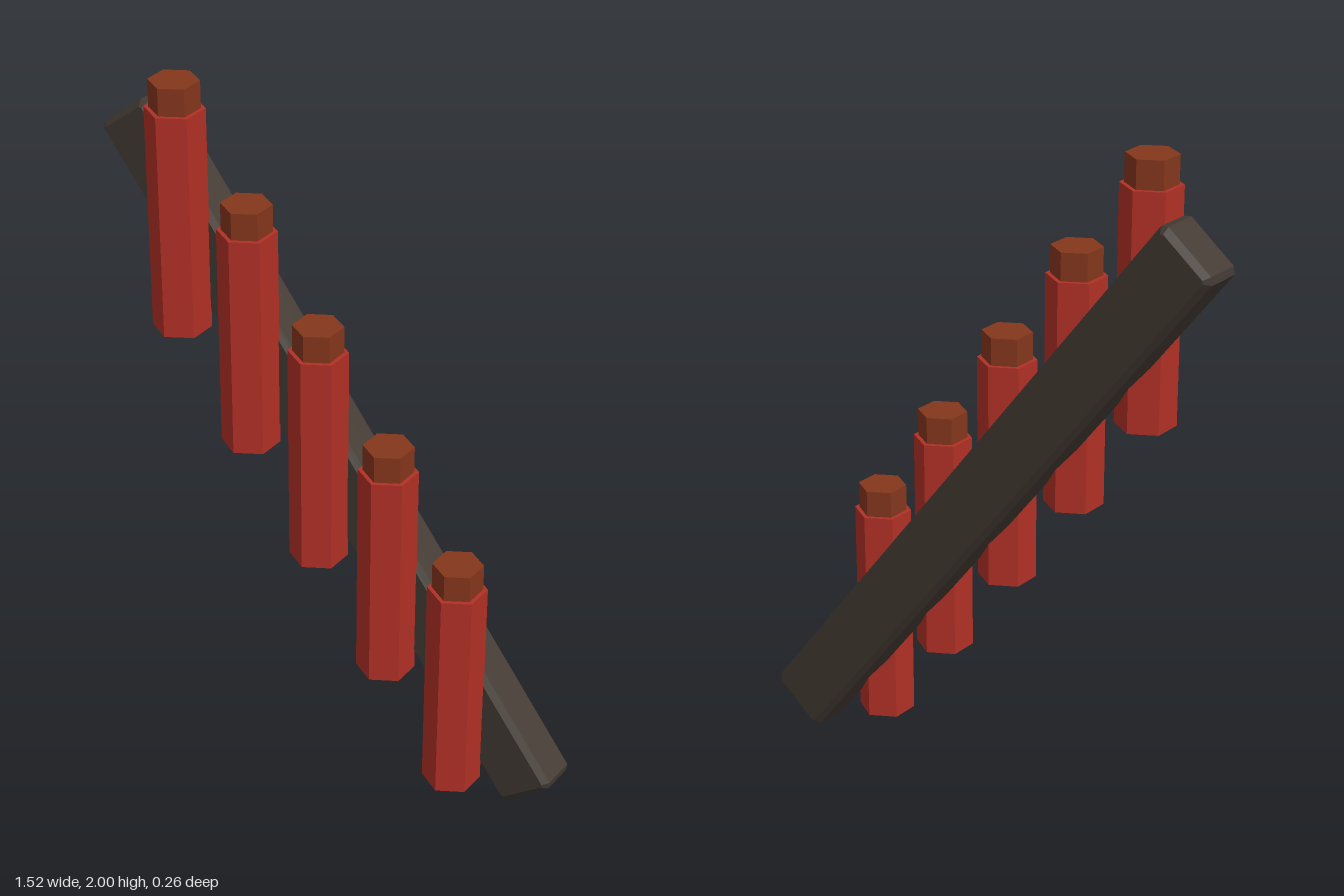
import * as THREE from 'three';

const material = (color) => {
  const m = new THREE.MeshStandardMaterial({ color });
  m.flatShading = true;
  return m;
};

// Box with chamfered edges, centred on the origin
function chamferedBox(length, width, depth, c) {
  const a = length / 2 - c, b = width / 2 - c;
  const shape = new THREE.Shape([[-a, -b], [a, -b], [a, b], [-a, b]].map(([x, y]) => new THREE.Vector2(x, y)));
  // Cut the four corners of the outline
  const A = length / 2, B = width / 2;
  shape.curves = [];
  shape.setFromPoints([
    [-a, -B], [a, -B], [A, -b], [A, b], [a, B], [-a, B], [-A, b], [-A, -b],
  ].map(([x, y]) => new THREE.Vector2(x, y)));
  const geometry = new THREE.ExtrudeGeometry(shape, {
    depth: depth - 2 * c, bevelEnabled: true, bevelSegments: 1,
    bevelSize: c, bevelOffset: -c, bevelThickness: c,
  });
  return geometry.translate(0, 0, c - depth / 2);
}

export function createModel() {
  const model = new THREE.Group();
  const red = material(0xb03025), brown = material(0x84361c), dark = material(0x433a33);

  // Slanted bar behind the tubes
  const bar = new THREE.Mesh(chamferedBox(2.254, 0.198, 0.133, 0.016), dark);
  bar.name = 'slantedBar';
  bar.position.set(0, 0.94, -0.0615);
  bar.rotation.z = -THREE.MathUtils.degToRad(52.1);
  model.add(bar);

  // Five hexagonal tubes with smaller caps, stepping down the bar
  const bodyHeight = 0.67, capHeight = 0.08;
  const bodyGeometry = new THREE.CylinderGeometry(0.084, 0.084, bodyHeight, 6);
  const capGeometry = new THREE.CylinderGeometry(0.071, 0.071, capHeight, 6);
  for (let i = -2; i <= 2; i++) {
    const tube = new THREE.Group();
    tube.name = `tube${i + 3}`;
    const body = new THREE.Mesh(bodyGeometry, red);
    body.name = 'tubeBody';
    body.position.y = bodyHeight / 2;
    const cap = new THREE.Mesh(capGeometry, brown);
    cap.name = 'tubeCap';
    cap.position.y = bodyHeight + capHeight / 2;
    tube.add(body, cap);
    tube.position.set(i * 0.233, 0.65 - i * 0.3, 0.044);
    model.add(tube);
  }
  return model;
}
